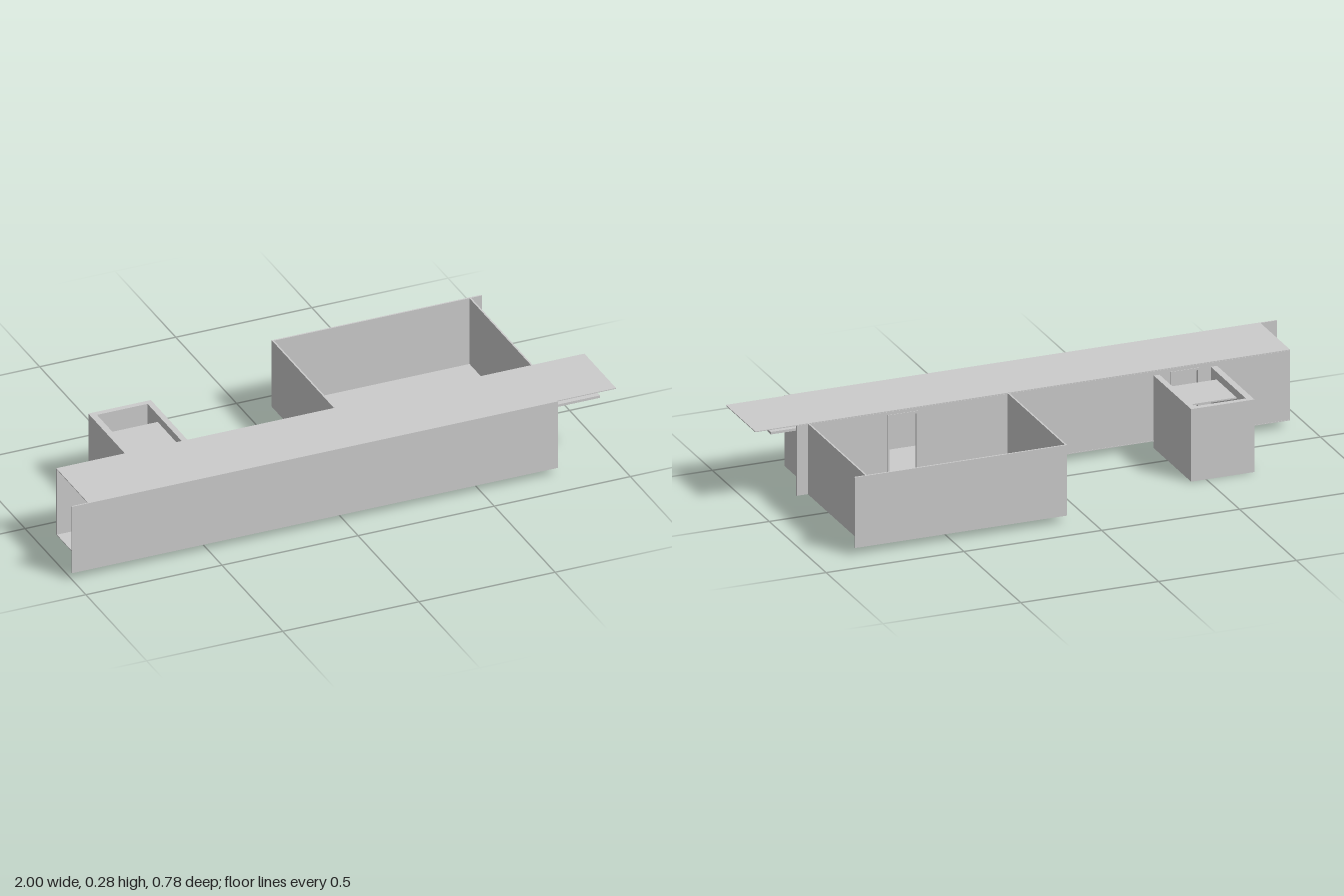
import * as THREE from 'three';

export function createModel() {
  const model = new THREE.Group();
  const mat = new THREE.MeshStandardMaterial({ color: 0xcccccc, flatShading: true, side: THREE.DoubleSide });

  // Box given by its extents on each axis
  function slab(name, [x0, x1], [y0, y1], [z0, z1], parent = model) {
    const mesh = new THREE.Mesh(new THREE.BoxGeometry(x1 - x0, y1 - y0, z1 - z0), mat);
    mesh.position.set((x0 + x1) / 2, (y0 + y1) / 2, (z0 + z1) / 2);
    mesh.name = name;
    parent.add(mesh);
    return mesh;
  }

  const floorY = 0.025, topY = 0.28;
  const full = [floorY, topY];
  const doors = [[-0.61, -0.505], [0.41, 0.52]];

  // Corridor shell
  const corridor = new THREE.Group();
  corridor.name = 'corridor';
  model.add(corridor);
  slab('corridorFloor', [-0.94, 0.785], [floorY, floorY + 0.003], [0.12, 0.384], corridor);
  slab('corridorRoof', [-0.94, 1.0], [topY - 0.003, topY], [0.122, 0.382], corridor);
  slab('frontWall', [-1.0, 0.785], full, [0.382, 0.387], corridor);
  slab('endWall', [0.78, 0.785], full, [0.13, 0.384], corridor);
  slab('endCanopy', [0.785, 0.94], [0.257, 0.266], [0.13, 0.384], corridor);

  // Inner wall with two doorways cut to the floor
  const wall = new THREE.Shape();
  wall.moveTo(-0.94, floorY);
  for (const [a, b] of doors) {
    wall.lineTo(a, floorY);
    wall.lineTo(a, 0.265);
    wall.lineTo(b, 0.265);
    wall.lineTo(b, floorY);
  }
  wall.lineTo(0.85, floorY);
  wall.lineTo(0.85, topY - 0.003);
  wall.lineTo(-0.94, topY - 0.003);
  const inner = new THREE.Mesh(new THREE.ExtrudeGeometry(wall, { depth: 0.007, bevelEnabled: false }), mat);
  inner.position.z = 0.121;
  inner.name = 'innerWall';
  corridor.add(inner);

  // Door frames
  for (const [a, b] of doors) {
    const frame = new THREE.Group();
    frame.name = 'doorFrame';
    slab('doorSill', [a, b], [0.017, 0.027], [0.119, 0.131], frame);
    slab('doorHead', [a, b], [0.258, 0.266], [0.119, 0.131], frame);
    slab('doorJamb', [a, a + 0.006], [0.017, 0.266], [0.119, 0.131], frame);
    slab('doorJamb', [b - 0.006, b], [0.017, 0.266], [0.119, 0.131], frame);
    corridor.add(frame);
  }

  // Large open-topped room
  const room = new THREE.Group();
  room.name = 'largeRoom';
  model.add(room);
  slab('roomFloor', [0.08, 0.81], [floorY, floorY + 0.003], [-0.385, 0.121], room);
  slab('roomSideWall', [0.08, 0.086], full, [-0.385, 0.121], room);
  slab('roomSideWall', [0.804, 0.81], full, [-0.385, 0.121], room);
  slab('roomBackWall', [0.08, 0.85], full, [-0.39, -0.384], room);

  // Small thick-walled room with a ceiling panel that leaves gaps at its ends
  const cell = new THREE.Group();
  cell.name = 'smallRoom';
  model.add(cell);
  const cellY = [0, 0.262];
  slab('cellFloor', [-0.675, -0.445], [0, 0.015], [-0.208, 0.121], cell);
  slab('cellSideWall', [-0.675, -0.652], cellY, [-0.208, 0.121], cell);
  slab('cellSideWall', [-0.466, -0.445], cellY, [-0.208, 0.121], cell);
  slab('cellBackWall', [-0.652, -0.466], cellY, [-0.208, -0.188], cell);
  slab('cellThreshold', [-0.652, -0.466], [0, floorY], [0.112, 0.121], cell);
  slab('cellCeilingPanel', [-0.652, -0.466], [0.23, 0.235], [-0.105, 0.07], cell);

  return model;
}
